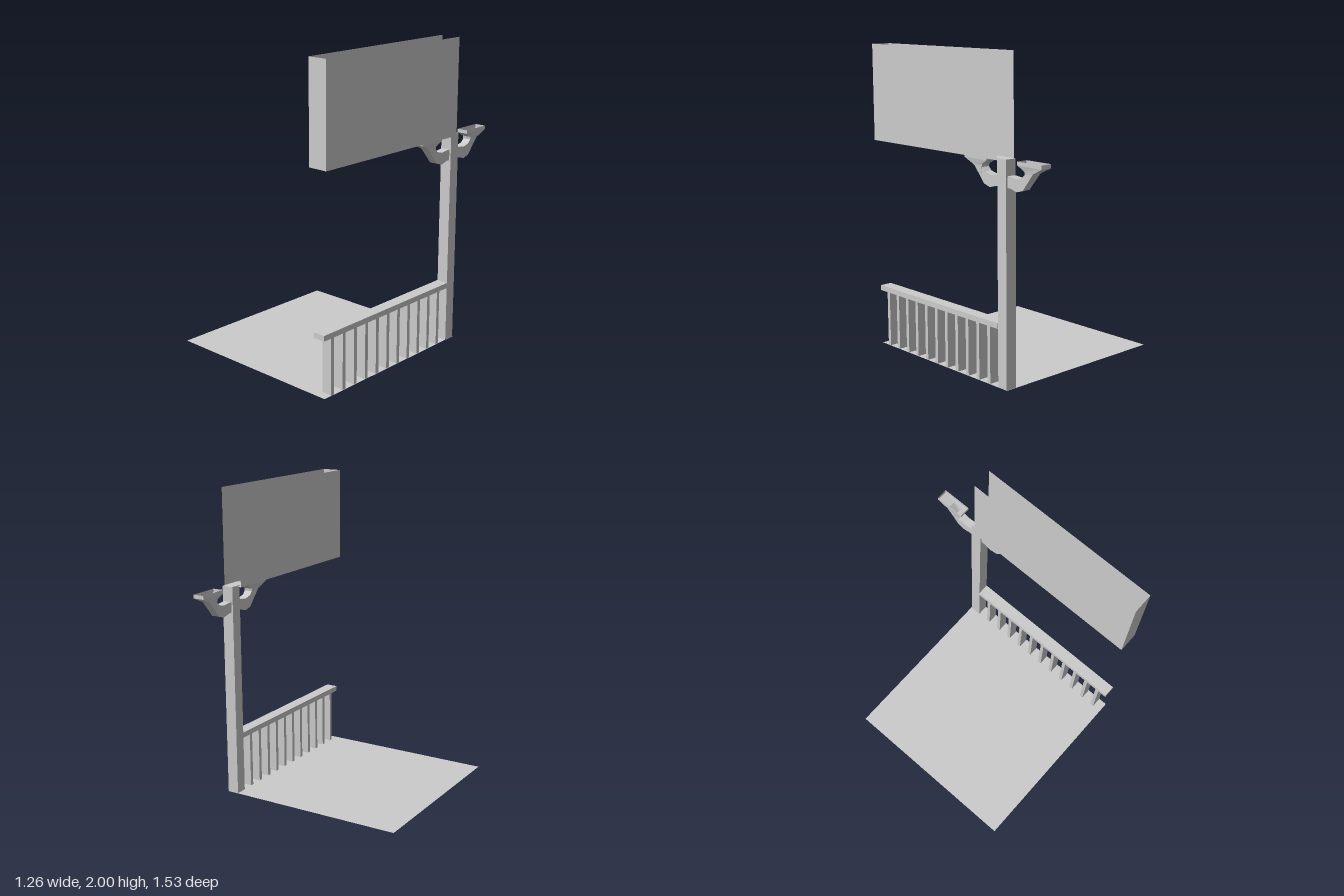
import * as THREE from 'three';

const material = new THREE.MeshStandardMaterial({ color: 0xcccccc, flatShading: true });
const thin = new THREE.MeshStandardMaterial({ color: 0xcccccc, flatShading: true, side: THREE.DoubleSide });

const POST_X = 0.57, POST_Z = -0.4375;

function box(parent, name, x0, x1, y0, y1, z0, z1) {
  const mesh = new THREE.Mesh(new THREE.BoxGeometry(x1 - x0, y1 - y0, z1 - z0), material);
  mesh.position.set((x0 + x1) / 2, (y0 + y1) / 2, (z0 + z1) / 2);
  mesh.name = name;
  parent.add(mesh);
}

// A thin rectangle from a corner and two edge vectors
function panel(parent, name, corner, u, v) {
  const at = (a, b) => corner.map((c, i) => c + a * u[i] + b * v[i]);
  const geometry = new THREE.BufferGeometry();
  geometry.setAttribute('position', new THREE.Float32BufferAttribute(
    [at(0, 0), at(1, 0), at(1, 1), at(0, 1)].flat(), 3));
  geometry.setIndex([0, 1, 2, 0, 2, 3]);
  geometry.computeVertexNormals();
  const mesh = new THREE.Mesh(geometry, thin);
  mesh.name = name;
  parent.add(mesh);
}

// Curved arm flaring into an open cup; dir is +1 to the front, -1 to the back
function bracket(parent, name, dir) {
  // outer distance, outer height, inner distance, inner height, half width
  const stations = [
    [0.03, 1.222, 0.03, 1.29, 0.027],
    [0.06, 1.222, 0.06, 1.29, 0.027],
    [0.115, 1.207, 0.115, 1.283, 0.027],
    [0.165, 1.222, 0.16, 1.295, 0.027],
    [0.195, 1.258, 0.183, 1.318, 0.027],
    [0.25, 1.325, 0.18, 1.335, 0.03],
    [0.327, 1.363, 0.13, 1.365, 0.037],
    [0.327, 1.387, 0.13, 1.387, 0.037],
  ];
  const positions = [], index = [];
  for (const [od, oy, id, iy, w] of stations) {
    const zo = POST_Z + dir * od, zi = POST_Z + dir * id;
    positions.push(POST_X - w, oy, zo, POST_X + w, oy, zo, POST_X + w, iy, zi, POST_X - w, iy, zi);
  }
  for (let s = 0; s < stations.length - 1; s++) {
    for (let k = 0; k < 4; k++) {
      const a = s * 4 + k, b = s * 4 + (k + 1) % 4;
      if (dir > 0) index.push(a, b, b + 4, a, b + 4, a + 4);
      else index.push(b, a, a + 4, b, a + 4, b + 4);
    }
  }
  const geometry = new THREE.BufferGeometry();
  geometry.setAttribute('position', new THREE.Float32BufferAttribute(positions, 3));
  geometry.setIndex(index);
  geometry.computeVertexNormals();
  const mesh = new THREE.Mesh(geometry, thin);
  mesh.name = name;
  parent.add(mesh);
}

export function createModel() {
  const group = new THREE.Group();
  group.name = 'porchSection';

  // Floor sheet
  panel(group, 'floor', [-0.635, 0, 0.765], [1.244, 0, 0], [0, 0, -1.244]);

  // Corner post with its two brackets
  box(group, 'post', 0.532, 0.608, 0, 1.387, -0.475, -0.4);
  bracket(group, 'frontBracket', 1);
  bracket(group, 'backBracket', -1);

  // Railing: handrail over eleven wide slats
  const railing = new THREE.Group();
  railing.name = 'railing';
  box(railing, 'handrail', 0.53, 0.61, 0.365, 0.4, -0.4, 0.768);
  for (let i = 0; i < 11; i++) {
    const z = 0.691 - i * 0.1003;
    box(railing, 'slat', 0.535, 0.605, 0, 0.365, z - 0.0125, z + 0.0125);
  }
  group.add(railing);

  // Hollow beam, open at the top and the back
  const beam = new THREE.Group();
  beam.name = 'beam';
  const x0 = 0.5, width = 0.13, y0 = 1.38, height = 0.62, front = 0.768, length = 1.193;
  panel(beam, 'beamFront', [x0, y0, front], [width, 0, 0], [0, height, 0]);
  panel(beam, 'beamBottom', [x0, y0, front - length], [width, 0, 0], [0, 0, length]);
  panel(beam, 'beamLeft', [x0 + width, y0, front], [0, 0, -length], [0, height, 0]);
  panel(beam, 'beamRight', [x0, y0, front - length], [0, 0, length], [0, height, 0]);
  group.add(beam);

  return group;
}
